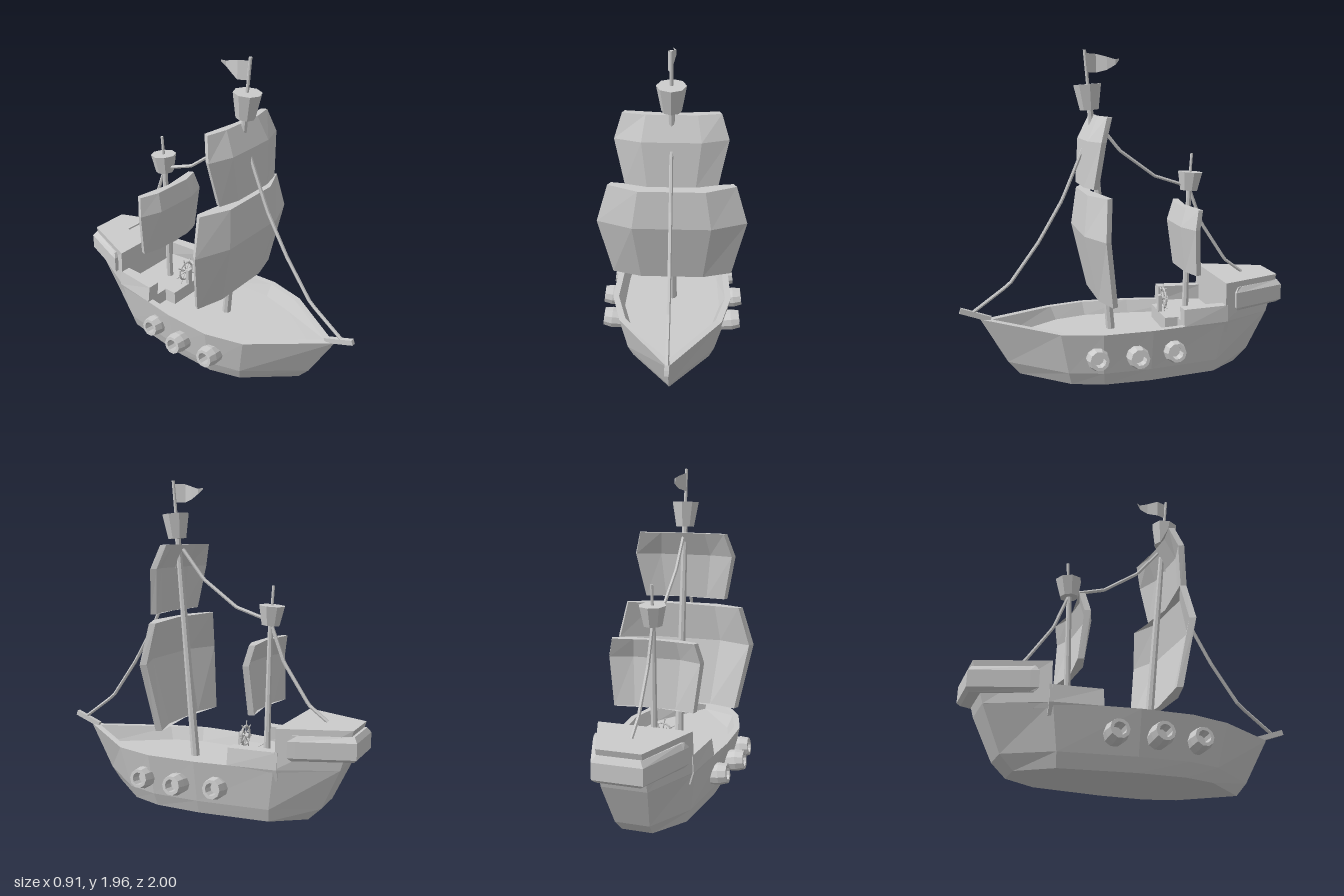
import * as THREE from 'three';

const mat = new THREE.MeshStandardMaterial({ color: 0xcccccc, flatShading: true });
const V = (x, y, z) => new THREE.Vector3(x, y, z);

// Closed solid through rings of equal length, counter-clockwise seen from above, bottom ring first
function loft(rings) {
  const pos = [];
  const tri = (...p) => p.forEach(v => pos.push(v.x, v.y, v.z));
  const n = rings[0].length;
  const centre = r => r.reduce((c, p) => c.add(p), V(0, 0, 0)).divideScalar(n);
  const low = rings[0], top = rings[rings.length - 1];
  const cl = centre(low), ct = centre(top);
  for (let i = 0; i < n; i++) {
    const j = (i + 1) % n;
    tri(cl, low[j], low[i]);
    tri(ct, top[i], top[j]);
    for (let k = 0; k + 1 < rings.length; k++) {
      const a = rings[k], b = rings[k + 1];
      tri(a[i], a[j], b[j]);
      tri(a[i], b[j], b[i]);
    }
  }
  const g = new THREE.BufferGeometry();
  g.setAttribute('position', new THREE.Float32BufferAttribute(pos, 3));
  g.computeVertexNormals();
  return g;
}

// Mirrored ring from the left half outline [x, z], listed bow to stern; y may be a rule of z
function ring(y, half) {
  const h = typeof y === 'function' ? y : () => y;
  const left = half.map(([x, z]) => V(x, h(z), z));
  const right = half.filter(p => p[0] > 0).reverse().map(([x, z]) => V(-x, h(z), z));
  return [...left, ...right];
}

function add(group, name, geometry) {
  const m = new THREE.Mesh(geometry, mat);
  m.name = name;
  group.add(m);
  return m;
}

// Tapered round bar between two points
function bar(group, name, a, b, r0, r1 = r0, sides = 8) {
  const d = b.clone().sub(a);
  const m = add(group, name, new THREE.CylinderGeometry(r1, r0, d.length(), sides));
  m.position.copy(a).addScaledVector(d, 0.5);
  m.quaternion.setFromUnitVectors(V(0, 1, 0), d.normalize());
  return m;
}

// Billowing sail: rows [y, halfWidth, centreZ, edgeZ] from bottom to top
function sail(group, name, rows) {
  const t = 0.033;
  add(group, name, loft(rows.map(([y, w, zc, ze]) => {
    const cols = [[-w, ze], [-w * 0.52, zc], [w * 0.52, zc], [w, ze]];
    return [...cols.map(([x, z]) => V(x, y, z)),
      ...cols.reverse().map(([x, z]) => V(x * 0.95, y, z - t))];
  })));
}

// Rope hanging in straight segments through [y, z] points
function rope(group, name, pts) {
  const path = new THREE.CurvePath();
  for (let i = 0; i + 1 < pts.length; i++) {
    path.add(new THREE.LineCurve3(V(0, ...pts[i]), V(0, ...pts[i + 1])));
  }
  add(group, name, new THREE.TubeGeometry(path, 24, 0.011, 6));
}

export function createModel() {
  const ship = new THREE.Group();
  ship.name = 'sailingShip';

  // Hull with rail and sunken deck
  const sheer = z => 0.33 + Math.max(0, z - 0.44) * 0.07;
  add(ship, 'hull', loft([
    ring(0, [[0, 0.65], [0.24, 0.37], [0.295, 0.18], [0.29, -0.1], [0.23, -0.52], [0.09, -0.71]]),
    ring(0.08, [[0, 0.72], [0.27, 0.39], [0.325, 0.19], [0.315, -0.1], [0.255, -0.53], [0.1, -0.79]]),
    ring(sheer, [[0, 0.88], [0.31, 0.44], [0.372, 0.2], [0.36, -0.1], [0.29, -0.57], [0.13, -0.905]]),
    ring(sheer, [[0, 0.81], [0.275, 0.42], [0.335, 0.2], [0.32, -0.1], [0.25, -0.57], [0.1, -0.87]]),
    ring(0.25, [[0, 0.74], [0.245, 0.39], [0.3, 0.19], [0.29, -0.1], [0.23, -0.56], [0.1, -0.85]]),
  ]));

  // Quarterdeck, its front platform and side bulwarks
  const deckOutline = [[0.26, -0.31], [0.24, -0.58]];
  add(ship, 'quarterdeck', loft([ring(0.24, deckOutline), ring(0.335, deckOutline)]));
  add(ship, 'platform', new THREE.BoxGeometry(0.31, 0.095, 0.09)).position.set(0, 0.29, -0.275);
  for (const s of [1, -1]) {
    const r = (y, a, b, c, d) => {
      const p = [V(s * a, y, -0.3), V(s * b, y, -0.59), V(s * c, y, -0.59), V(s * d, y, -0.3)];
      return s > 0 ? p : p.reverse();
    };
    add(ship, 'bulwark', loft([r(0.26, 0.31, 0.27, 0.2, 0.25), r(0.33, 0.33, 0.289, 0.22, 0.245),
      r(0.43, 0.315, 0.282, 0.22, 0.235)]));
  }

  // Stern cabin with a chamfered band around it
  add(ship, 'cabin', loft([
    ring(0.3, [[0.28, -0.575], [0.12, -0.89]]),
    ring(0.33, [[0.289, -0.575], [0.13, -0.905]]),
    ring(0.565, [[0.278, -0.578], [0.125, -0.975]]),
  ]));
  const band = (y, d) => ring(y, [[0.278 - d, -0.645 - d], [0.262 - d, -0.69], [0.142 - d, -1 + d]]);
  add(ship, 'sternBand', loft([band(0.385, 0.02), band(0.405, 0), band(0.5, 0), band(0.53, 0.02)]));

  // Cannons, hollow at the muzzle
  const barrel = [[0, 0], [0.06, 0], [0.066, 0.075], [0.056, 0.125], [0.037, 0.125], [0.035, 0.06], [0, 0.06]]
    .map(p => new THREE.Vector2(...p));
  for (const s of [1, -1]) {
    for (const [z, x] of [[0.235, 0.305], [0, 0.325], [-0.235, 0.275]]) {
      const c = add(ship, 'cannon', new THREE.LatheGeometry(barrel, 10));
      c.position.set(s * x, 0.18, z);
      c.rotation.z = -s * (Math.PI / 2 - 0.13);
    }
  }

  // Masts, poles and crow's nests
  bar(ship, 'mainMast', V(0, 0.24, 0.08), V(0, 1.65, 0.205), 0.028, 0.018);
  bar(ship, 'mainPole', V(0, 1.6, 0.2), V(0, 1.955, 0.232), 0.01);
  bar(ship, 'mainNest', V(0, 1.605, 0.205), V(0, 1.755, 0.217), 0.057, 0.084);
  bar(ship, 'rearMast', V(0, 0.3, -0.407), V(0, 1.12, -0.422), 0.022, 0.016);
  bar(ship, 'rearPole', V(0, 1.1, -0.422), V(0, 1.335, -0.438), 0.009);
  bar(ship, 'rearNest', V(0, 1.105, -0.422), V(0, 1.22, -0.43), 0.056, 0.08);

  // Sails
  sail(ship, 'mainSail', [[0.485, 0.37, 0.195, 0.145], [0.885, 0.45, 0.284, 0.2], [1.12, 0.38, 0.257, 0.178]]);
  sail(ship, 'topSail', [[1.16, 0.27, 0.27, 0.235], [1.43, 0.325, 0.25, 0.2], [1.57, 0.28, 0.185, 0.158]]);
  sail(ship, 'rearSail', [[0.615, 0.25, -0.362, -0.395], [0.9, 0.285, -0.326, -0.375], [1.015, 0.255, -0.36, -0.4]]);

  // Rigging
  rope(ship, 'foreRope', [[1.53, 0.18], [1.07, 0.375], [0.82, 0.52], [0.57, 0.7], [0.41, 0.92]]);
  rope(ship, 'middleRope', [[1.54, 0.165], [1.36, 0.02], [1.2, -0.2], [1.135, -0.4]]);
  rope(ship, 'rearRope', [[1.1, -0.43], [0.89, -0.51], [0.65, -0.67], [0.565, -0.785]]);

  // Bowsprit
  const sprit = add(ship, 'bowsprit', new THREE.BoxGeometry(0.026, 0.032, 0.19));
  sprit.position.set(0, 0.392, 0.908);
  sprit.rotation.x = -0.34;

  // Waving pennant: stations [z, yLow, yHigh, x]
  const cloth = [[0.225, 1.825, 1.935, 0], [0.16, 1.822, 1.932, -0.022], [0.1, 1.838, 1.915, 0.008],
    [0.05, 1.868, 1.9, 0.02], [0.025, 1.895, 1.905, 0.005]];
  const flag = [];
  for (let i = 0; i + 1 < cloth.length; i++) {
    const [z, l, h, x] = cloth[i], [z2, l2, h2, x2] = cloth[i + 1];
    flag.push(x, l, z, x2, l2, z2, x2, h2, z2, x, l, z, x2, h2, z2, x, h, z);
  }
  const fg = new THREE.BufferGeometry();
  fg.setAttribute('position', new THREE.Float32BufferAttribute(flag, 3));
  fg.computeVertexNormals();
  const pennant = add(ship, 'pennant', fg);
  pennant.material = mat.clone();
  pennant.material.side = THREE.DoubleSide;

  // Steering wheel on its stand
  add(ship, 'wheelStand', new THREE.BoxGeometry(0.035, 0.105, 0.025)).position.set(0, 0.388, -0.238);
  const wheel = new THREE.Group();
  wheel.name = 'steeringWheel';
  wheel.position.set(0, 0.42, -0.265);
  add(wheel, 'rim', new THREE.TorusGeometry(0.06, 0.007, 6, 16));
  add(wheel, 'hub', new THREE.CylinderGeometry(0.015, 0.015, 0.05, 8)).rotation.x = Math.PI / 2;
  for (let i = 0; i < 4; i++) {
    add(wheel, 'spoke', new THREE.CylinderGeometry(0.004, 0.004, 0.18, 6)).rotation.z = i * Math.PI / 4 + 0.2;
  }
  ship.add(wheel);

  return ship;
}
